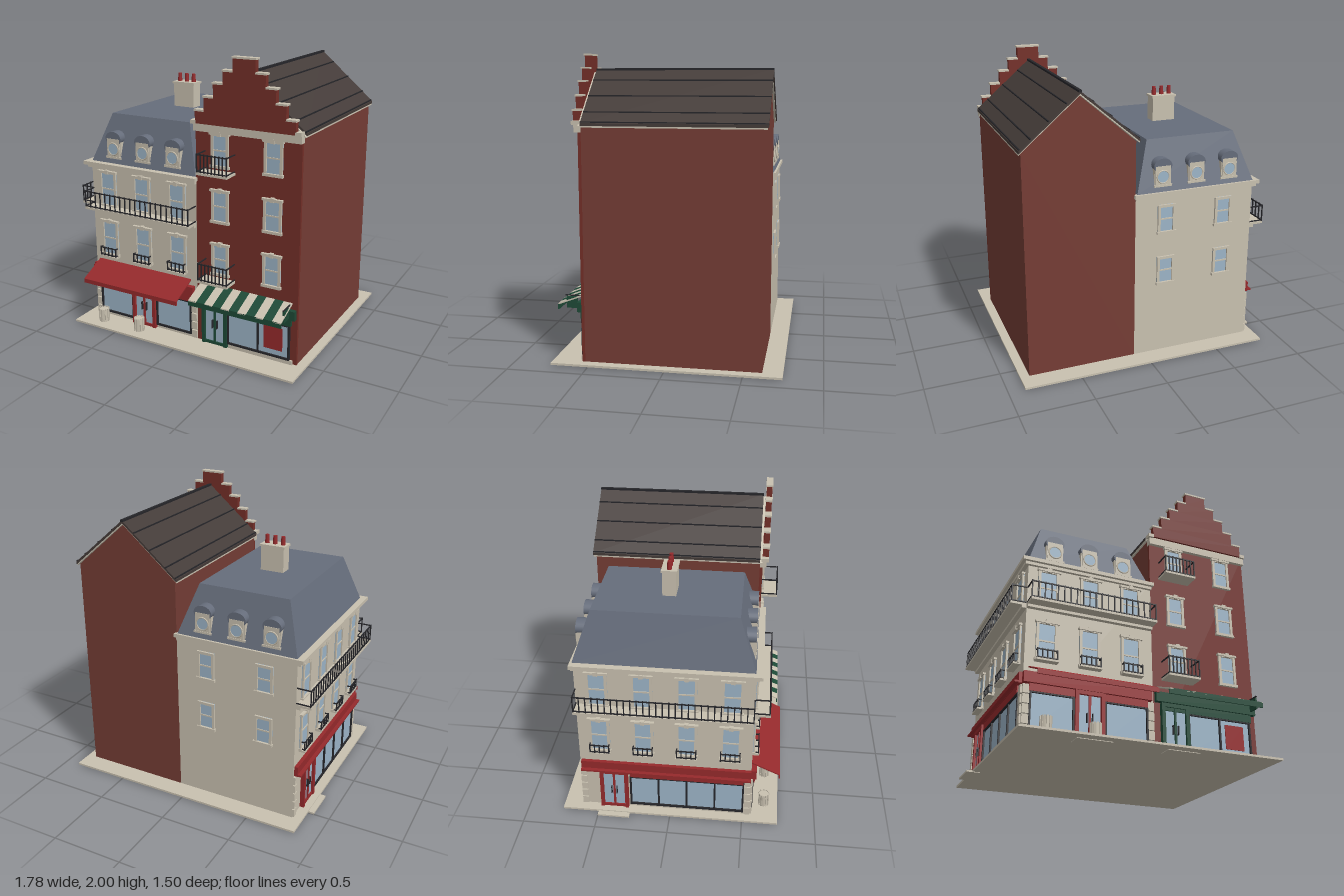
import * as THREE from 'three';

const mat = (name, color, opt = {}) => {
  const m = new THREE.MeshStandardMaterial({ color, ...opt });
  m.name = name;
  return m;
};

export function createModel() {
  const cream = mat('cream stone', 0xc9c1b0);
  const brick = mat('front brick', 0x742f28);
  const sideBrick = mat('party wall brick', 0x753d35);
  const slate = mat('blue slate', 0x666d7b);
  const tile = mat('dark roof', 0x453c39);
  const glass = mat('glass', 0x9db5c8);
  const red = mat('red paint', 0x962a2c);
  const green = mat('green paint', 0x1e4a37);
  const iron = mat('black iron', 0x26262a);

  const model = new THREE.Group();
  model.name = 'townhouses';
  const group = (name, parent = model) => {
    const g = new THREE.Group();
    g.name = name;
    parent.add(g);
    return g;
  };
  const add = (g, name, geo, m, x = 0, y = 0, z = 0) => {
    const mesh = new THREE.Mesh(geo, m);
    mesh.name = name;
    mesh.position.set(x, y, z);
    g.add(mesh);
    return mesh;
  };
  // Box given by its min and max on each axis
  const box = (g, name, m, x0, x1, y0, y1, z0, z1) =>
    add(g, name, new THREE.BoxGeometry(x1 - x0, y1 - y0, z1 - z0), m, (x0 + x1) / 2, (y0 + y1) / 2, (z0 + z1) / 2);
  // Outline in x/y pushed along z
  const prism = (g, name, m, pts, z0, z1) =>
    add(g, name, new THREE.ExtrudeGeometry(new THREE.Shape(pts.map(p => new THREE.Vector2(...p))),
      { depth: z1 - z0, bevelEnabled: false }), m, 0, 0, z0);

  // Facade groups: local x along the wall, z = 0 on the wall, +z outwards
  const front = group('frontFacade');
  front.position.z = 0.55;
  const side = group('leftFacade');
  side.position.x = -0.78;
  side.rotation.y = -Math.PI / 2;
  const back = group('backFacade');
  back.position.z = -0.62;
  back.rotation.y = Math.PI;

  const sashWindow = (f, u, y0, y1, w = 0.14, crown = true) => {
    const g = group('window', f), h = w / 2, t = 0.018;
    box(g, 'pane', glass, u - h, u + h, y0, y1, 0, 0.004);
    for (const s of [-1, 1]) box(g, 'jamb', cream, u + s * (h - t / 2) - t / 2, u + s * (h - t / 2) + t / 2, y0, y1, 0, 0.014);
    box(g, 'head', cream, u - h, u + h, y1 - t, y1, 0, 0.014);
    box(g, 'sill', cream, u - h - 0.006, u + h + 0.006, y0 - 0.004, y0 + 0.014, 0, 0.02);
    box(g, 'meetingRail', cream, u - h, u + h, (y0 + y1) / 2 - 0.005, (y0 + y1) / 2 + 0.005, 0, 0.009);
    if (crown) {
      box(g, 'lintel', cream, u - h - 0.008, u + h + 0.008, y1 - 0.012, y1 + 0.003, 0, 0.022);
      box(g, 'keystone', cream, u - 0.014, u + 0.014, y1 - 0.018, y1 + 0.01, 0, 0.026);
    }
  };
  // Railing with optional returns to the wall
  const railing = (f, u0, u1, y0, y1, z, n, returns = true, t = 0.007) => {
    const g = group('railing', f);
    for (const y of [y0 + t, y1 - t]) box(g, 'rail', iron, u0, u1, y - t / 2, y + t / 2, z - t, z);
    for (let i = 0; i <= n; i++) {
      const u = u0 + t / 2 + (u1 - u0 - t) * i / n;
      box(g, 'baluster', iron, u - t / 2, u + t / 2, y0, y1, z - t, z);
    }
    if (returns) for (const u of [u0 + t / 2, u1 - t / 2])
      for (const y of [y0 + t, y1 - t]) box(g, 'returnRail', iron, u - t / 2, u + t / 2, y - t / 2, y + t / 2, 0, z);
  };
  const shopWindow = (f, u0, u1, panes) => {
    const g = group('shopWindow', f);
    box(g, 'pane', glass, u0, u1, 0.05, 0.29, 0, 0.006);
    box(g, 'bottomFrame', iron, u0, u1, 0.045, 0.058, 0, 0.018);
    box(g, 'topFrame', iron, u0, u1, 0.284, 0.295, 0, 0.018);
    for (let i = 0; i <= panes; i++) {
      const u = u0 + (u1 - u0) * i / panes;
      box(g, 'mullion', iron, u - 0.006, u + 0.006, 0.045, 0.295, 0, 0.018);
    }
  };
  const shopDoor = (f, u, m) => {
    const g = group('shopDoor', f);
    box(g, 'glazing', glass, u - 0.09, u + 0.09, 0.02, 0.33, 0, 0.012);
    for (const s of [-1, 1]) box(g, 'post', m, u + s * 0.085 - 0.012, u + s * 0.085 + 0.012, 0.02, 0.335, 0, 0.03);
    box(g, 'header', m, u - 0.097, u + 0.097, 0.315, 0.34, 0, 0.03);
    box(g, 'kickPlate', m, u - 0.085, u + 0.085, 0.02, 0.04, 0, 0.022);
    box(g, 'meetingStile', m, u - 0.007, u + 0.007, 0.02, 0.32, 0, 0.022);
    for (const s of [-1, 1]) box(g, 'handle', iron, u + s * 0.018 - 0.003, u + s * 0.018 + 0.003, 0.14, 0.2, 0.012, 0.028);
  };

  // Pavement and door steps
  const ground = group('pavement');
  box(ground, 'slab', cream, -0.85, 0.89, 0.004, 0.018, -0.75, 0.745);
  box(ground, 'frontStep', cream, -0.48, -0.25, 0, 0.012, 0.58, 0.68);
  box(ground, 'frontStep', cream, 0.11, 0.33, 0, 0.012, 0.58, 0.68);
  box(ground, 'sideStep', cream, -0.89, -0.8, 0, 0.012, -0.5, -0.28);

  // Stone house
  const stone = group('stoneHouse');
  box(stone, 'walls', cream, -0.78, 0.08, 0.018, 1.19, -0.62, 0.55);
  box(stone, 'cornice', cream, -0.825, 0.09, 1.165, 1.19, -0.64, 0.59);
  box(stone, 'corniceBed', cream, -0.805, 0.08, 1.145, 1.165, -0.63, 0.57);
  const mansard = new THREE.BoxGeometry(0.85, 0.33, 1.17);
  const mp = mansard.attributes.position;
  for (let i = 0; i < mp.count; i++) if (mp.getY(i) > 0) {
    mp.setX(i, mp.getX(i) * 0.745);
    mp.setZ(i, mp.getZ(i) * 0.805);
  }
  mansard.computeVertexNormals();
  add(stone, 'mansardRoof', mansard, slate, -0.355, 1.355, -0.04);

  // Dormers front and back
  for (const r of [0, Math.PI]) {
    const g = group('dormers', stone);
    g.position.set(-0.357, 0, -0.04);
    g.rotation.y = r;
    for (const x of [-0.243, 0, 0.243]) {
      box(g, 'dormerFace', cream, x - 0.058, x + 0.058, 1.228, 1.365, 0.42, 0.57);
      const hood = add(g, 'dormerHood', new THREE.CylinderGeometry(0.064, 0.064, 0.17, 24), slate, x, 1.362, 0.49);
      hood.rotation.x = Math.PI / 2;
      hood.scale.z = 0.78;
      box(g, 'dormerFront', cream, x - 0.052, x + 0.052, 1.235, 1.362, 0.57, 0.577);
      add(g, 'dormerSurround', new THREE.TorusGeometry(0.042, 0.005, 6, 28), cream, x, 1.29, 0.577);
      add(g, 'roundWindow', new THREE.CircleGeometry(0.041, 28), glass, x, 1.29, 0.579);
      box(g, 'dormerSill', cream, x - 0.064, x + 0.064, 1.222, 1.236, 0.5, 0.58);
    }
  }

  // Chimney
  box(stone, 'chimney', cream, -0.435, -0.27, 1.5, 1.69, -0.085, 0.005);
  box(stone, 'chimneyCap', cream, -0.442, -0.263, 1.685, 1.7, -0.092, 0.012);
  for (const x of [-0.41, -0.352, -0.295])
    add(stone, 'chimneyPot', new THREE.CylinderGeometry(0.013, 0.016, 0.06, 16), red, x, 1.727, -0.04);

  // Stone house windows, balconies
  const dress = (f, columns, u0, u1) => {
    for (const u of columns) {
      sashWindow(f, u, 0.5, 0.765);
      sashWindow(f, u, 0.87, 1.13);
      box(f, 'planterLedge', cream, u - 0.072, u + 0.072, 0.49, 0.503, 0, 0.045);
      railing(f, u - 0.068, u + 0.068, 0.503, 0.57, 0.042, 4);
    }
    box(f, 'balconySlab', cream, u0, u1, 0.858, 0.874, 0, 0.103);
    railing(f, u0, u1, 0.874, 0.995, 0.1, Math.round((u1 - u0) / 0.042));
    box(f, 'stringCourse', cream, u0, u1, 0.84, 0.858, 0, 0.03);
  };
  dress(front, [-0.643, -0.357, -0.072], -0.78, 0.075);
  dress(side, [-0.474, -0.181, 0.111, 0.404], -0.62, 0.55);
  for (const u of [0.14, 0.56]) for (const y of [0.53, 0.9]) sashWindow(back, u, y, y + 0.2, 0.125, false);

  // Corner stones at street level
  for (let i = 0; i < 5; i++) {
    const y = 0.025 + i * 0.063;
    for (const u of [-0.762, 0.058]) box(front, 'cornerStone', cream, u - 0.021, u + 0.021, y, y + 0.055, 0, 0.014);
    for (const u of [-0.6, 0.53]) box(side, 'cornerStone', cream, u - 0.02, u + 0.02, y, y + 0.055, 0, 0.014);
  }

  // Red shopfront
  shopWindow(front, -0.735, -0.46, 1);
  shopWindow(front, -0.25, 0.03, 1);
  shopDoor(front, -0.357, red);
  for (const [a, b] of [[-0.745, -0.455], [-0.258, 0.035]]) box(front, 'transom', red, a, b, 0.293, 0.34, 0, 0.02);
  box(front, 'redFascia', red, -0.785, 0.06, 0.34, 0.41, 0, 0.035);
  shopDoor(side, -0.39, red);
  shopWindow(side, -0.275, 0.5, 4);
  box(side, 'sideFascia', red, -0.61, 0.55, 0.34, 0.41, 0, 0.025);
  box(side, 'sideTransom', red, -0.275, 0.5, 0.293, 0.34, 0, 0.02);
  box(side, 'sideLedge', red, -0.61, 0.55, 0.343, 0.355, 0, 0.05);

  // Sloping awnings, cut along x so each strip can take its own colour
  const awning = (name, x0, x1, strips, mats, z1, yLow, yHem, hem) => {
    const g = group(name);
    const w = (x1 - x0) / strips, prof = [[0.55, 0.455], [z1, yLow], [z1, yLow - 0.008], [0.55, 0.445]];
    for (let i = 0; i < strips; i++) {
      // Shape x runs along -z, so the strip turns to face the street
      const m = prism(g, 'awningCloth', mats[i % mats.length], prof.map(([z, y]) => [-z, y]), 0, w);
      m.rotation.y = Math.PI / 2;
      m.position.set(x0 + i * w, 0, 0);
    }
    box(g, 'valance', hem, x0, x1, yHem, yLow, z1 - 0.008, z1);
  };
  awning('redAwning', -0.75, 0.03, 1, [red], 0.743, 0.365, 0.335, red);
  awning('stripedAwning', 0.11, 0.79, 11, [cream, green], 0.72, 0.388, 0.35, green);

  // Brick house
  const house = group('brickHouse');
  prism(house, 'walls', sideBrick, [[0.08, 0.018], [0.828, 0.018], [0.828, 1.55], [0.454, 1.872], [0.08, 1.55]], -0.62, 0.53);
  box(house, 'frontWall', brick, 0.08, 0.828, 0.018, 1.56, 0.53, 0.55);
  box(house, 'cornice', cream, 0.075, 0.833, 1.508, 1.56, 0.53, 0.575);
  const chevron = (name, m, lo, hi, t, z0, z1) => prism(house, name, m,
    [[0.06, lo], [0.06, lo - t], [0.452, hi - t], [0.844, lo - t], [0.844, lo], [0.452, hi]], z0, z1);
  chevron('roof', tile, 1.568, 1.902, 0.018, -0.64, 0.53);
  chevron('verge', cream, 1.55, 1.884, 0.01, -0.633, 0.545);
  for (const s of [-1, 1]) for (const d of [0.085, 0.2, 0.315, 0.385]) {
    const seam = box(house, 'roofSeam', iron, -0.004, 0.004, -0.004, 0.004, -0.64, 0.53);
    seam.position.x = 0.452 + s * d;
    seam.position.y = 1.902 - d * 0.852;
  }
  box(house, 'ridge', iron, 0.442, 0.462, 1.893, 1.907, -0.642, 0.53);

  // Stepped gable with stone caps
  [[0.35, 1.64], [0.285, 1.73], [0.217, 1.82], [0.147, 1.903], [0.078, 1.988]].forEach(([h, top], i, a) => {
    const y0 = i ? a[i - 1][1] : 1.56, c = 0.448, inner = i < 4 ? a[i + 1][0] : 0;
    box(house, 'gableStep', brick, c - h, c + h, y0, top, 0.55, 0.588);
    if (i === 4) box(house, 'gableCap', cream, c - h - 0.006, c + h + 0.006, top, 2, 0.545, 0.593);
    else for (const s of [-1, 1]) {
      const p = c + s * (h + 0.006), q = c + s * inner;
      box(house, 'gableCap', cream, Math.min(p, q), Math.max(p, q), top, top + 0.012, 0.545, 0.593);
    }
  });
  for (const x of [0.083, 0.815]) box(house, 'kneeler', cream, x - 0.02, x + 0.02, 1.555, 1.58, 0.54, 0.59);

  // Brick house windows and balconies
  for (const u of [0.262, 0.64]) for (const y of [0.535, 0.905, 1.28]) sashWindow(front, u, y, y + 0.225, 0.128);
  for (const y of [0.5, 1.245]) {
    box(front, 'balconySlab', cream, 0.145, 0.372, y, y + 0.015, 0, 0.115);
    railing(front, 0.147, 0.37, y + 0.015, y + 0.14, 0.113, 8);
  }

  // Green shopfront
  box(front, 'plinth', cream, 0.325, 0.8, 0.018, 0.046, 0, 0.015);
  shopDoor(front, 0.225, green);
  shopWindow(front, 0.325, 0.775, 2);
  box(front, 'poster', red, 0.592, 0.728, 0.095, 0.258, 0.006, 0.01);
  box(front, 'greenTransom', green, 0.132, 0.79, 0.293, 0.345, 0, 0.02);
  box(front, 'greenFascia', green, 0.09, 0.82, 0.345, 0.41, 0, 0.032);
  box(front, 'signBracket', iron, 0.776, 0.784, 0.442, 0.449, 0, 0.12);
  box(front, 'hangingSign', green, 0.774, 0.786, 0.362, 0.438, 0.04, 0.112);

  // Slatted street tubs
  for (const x of [-0.66, -0.35]) {
    const g = group('streetTub');
    g.position.set(x, 0, 0.647);
    add(g, 'tub', new THREE.CylinderGeometry(0.033, 0.033, 0.09, 16), cream, 0, 0.063, 0);
    for (let i = 0; i < 12; i++) {
      const a = i * Math.PI / 6;
      const slat = add(g, 'slat', new THREE.BoxGeometry(0.012, 0.097, 0.006), cream, Math.sin(a) * 0.034, 0.0665, Math.cos(a) * 0.034);
      slat.rotation.y = a;
    }
  }
  return model;
}
